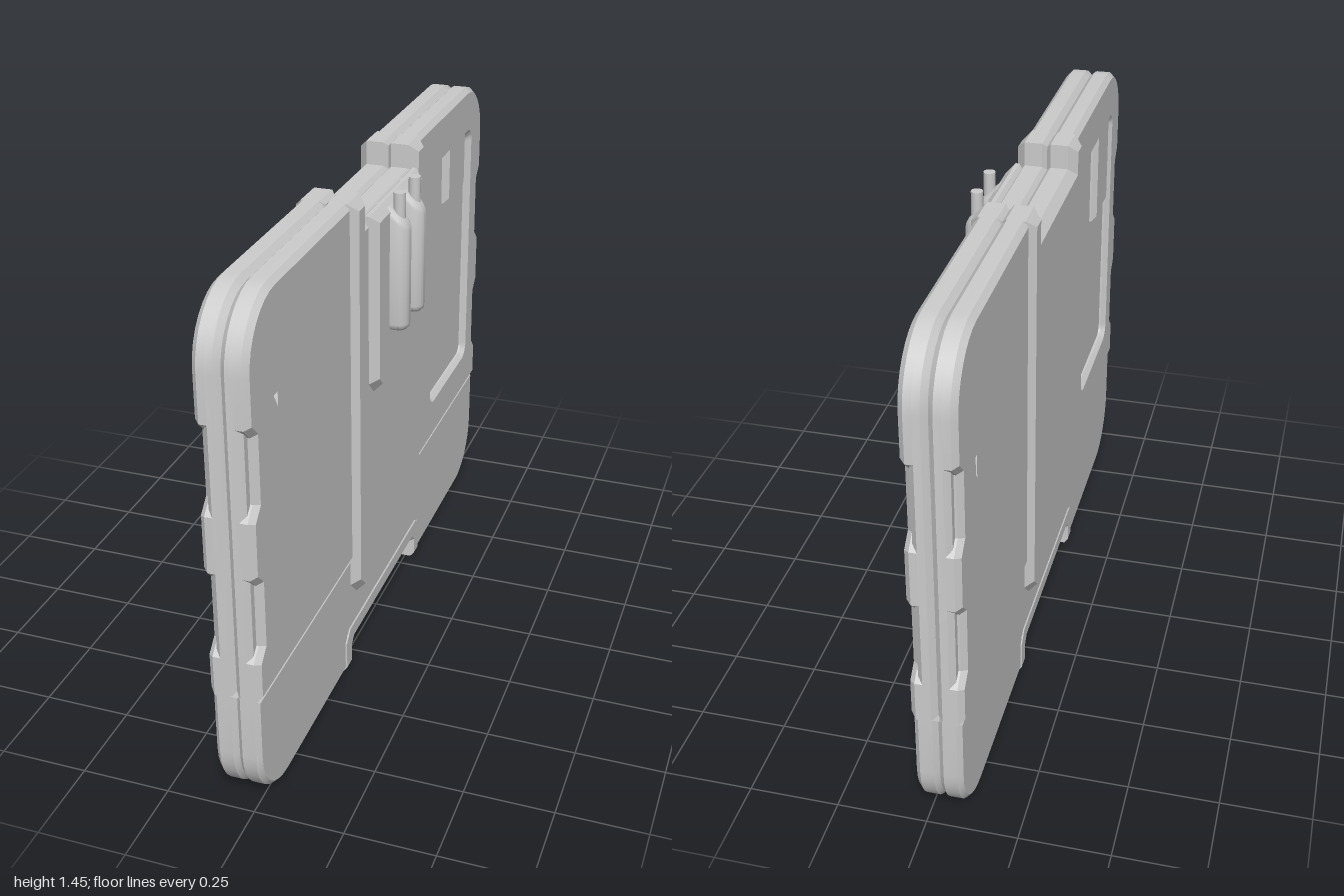
import * as THREE from 'three';
import { toCreasedNormals } from 'three/addons/utils/BufferGeometryUtils.js';

const SEAM = -0.0385; // x of the plane where the two shells meet
const material = new THREE.MeshStandardMaterial({ color: 0xcccccc });

// Closed outline from [u, y, cornerRadius] points
function outline(points, Type = THREE.Shape) {
  const path = new Type();
  const n = points.length;
  points.forEach(([u, y, r = 0], i) => {
    const toward = (q, d) => {
      const len = Math.hypot(q[0] - u, q[1] - y);
      return [u + ((q[0] - u) * d) / len, y + ((q[1] - y) * d) / len];
    };
    const prev = points[(i + n - 1) % n], next = points[(i + 1) % n];
    const a = r ? toward(prev, r) : [u, y];
    if (i === 0) path.moveTo(...a);
    else path.lineTo(...a);
    if (r) path.bezierCurveTo(...toward(prev, r * 0.45), ...toward(next, r * 0.45), ...toward(next, r));
  });
  path.closePath();
  return path;
}

const flip = (points, s) => points.map(([u, y, r]) => [u * s, y, r]);
const symmetric = (half) => [...half, ...flip(half, -1).reverse()];

// Bevelled slab between distances d0 and d1 from the seam, on the given side
function slab(group, name, side, points, d0, d1, bevel, hole) {
  const shape = outline(points);
  if (hole) shape.holes.push(outline(hole, THREE.Path));
  let geo = new THREE.ExtrudeGeometry(shape, {
    depth: d1 - d0 - 2 * bevel, bevelThickness: bevel, bevelSize: bevel,
    bevelOffset: -bevel, bevelSegments: 1, curveSegments: 8,
  });
  geo.translate(0, 0, d0 + bevel);
  geo.rotateY((side * Math.PI) / 2);
  geo = toCreasedNormals(geo, 0.45);
  const mesh = new THREE.Mesh(geo, material);
  mesh.name = name;
  mesh.position.x = SEAM;
  group.add(mesh);
}

// Upper side panel, with or without the grip notches in its outer edge
function panelPoints(notched) {
  const pts = [[0.295, 0.36], [1, 0.36]];
  if (notched) {
    for (const y of [0.48, 0.89]) {
      pts.push([1, y], [0.965, y + 0.035], [0.965, y + 0.215], [1, y + 0.25]);
    }
  }
  pts.push([1, 1.45, 0.18], [0.295, 1.45]);
  return pts;
}

// Sunken field with a raised tab at its top edge
const recess = (u0, u1, tabY) => [
  [0.465, 0.505, 0.03], [0.862, 0.505, 0.03], [0.862, 1.295, 0.03],
  [u1, 1.295], [u1, tabY], [u0, tabY], [u0, 1.295], [0.465, 1.295, 0.03],
];

function addShell(group, side) {
  // Side panels: full inner layer, notched outer layer with the recess
  const field = side > 0 ? recess(0.61, 0.81, 1.135) : recess(0.63, 0.82, 1.03);
  for (const s of [-1, 1]) {
    slab(group, 'panelInnerLayer', side, flip(panelPoints(false), s), 0, 0.05, 0.015);
    slab(group, 'panelOuterLayer', side, flip(panelPoints(true), s), 0.012, 0.071, 0.015, flip(field, s));
  }

  // Lower panel with the handle opening
  const lower = symmetric([[0.33, 0], [1, 0, 0.18], [1, 0.366]]);
  lower.push([-0.33, 0.105], [0.33, 0.105]);
  slab(group, 'lowerPanel', side, lower, 0, 0.0635, 0.013);

  // Frame around the handle opening
  const frame = [
    [0.3, 0], [0.362, 0], [0.362, 0.1], [0.325, 0.137],
    [-0.325, 0.137], [-0.362, 0.1], [-0.362, 0], [-0.3, 0], [-0.3, 0.06], [-0.285, 0.077],
    [0.285, 0.077], [0.3, 0.06],
  ];
  slab(group, 'handleFrame', side, frame, 0, 0.067, 0.01);

  // Centre housing, lowered between its two top shoulders
  const housing = symmetric([[0.255, 0.222], [0.308, 0.275], [0.308, 1.45], [0.212, 1.45], [0.212, 1.38]]);
  slab(group, 'housingInnerLayer', side, housing, 0, 0.06, 0.012);
  slab(group, 'housingOuterLayer', side, housing, 0.012, 0.088, 0.025);
}

// Antenna: D-shaped barrel with a slanted top, and a thin rod
function addAntenna(group, z) {
  const antenna = new THREE.Group();
  antenna.name = 'antenna';
  antenna.position.z = z;

  const d = new THREE.Shape();
  d.moveTo(0.055, -0.033);
  d.lineTo(0.091, -0.033);
  d.absarc(0.091, 0, 0.033, -Math.PI / 2, Math.PI / 2, false);
  d.lineTo(0.055, 0.033);
  d.closePath();
  let geo = new THREE.ExtrudeGeometry(d, {
    depth: 0.32, bevelThickness: 0.022, bevelSize: 0.02, bevelOffset: -0.02,
    bevelSegments: 3, curveSegments: 14,
  });
  geo.rotateX(-Math.PI / 2);
  geo.translate(0, 1.03, 0);
  const p = geo.attributes.position;
  for (let i = 0; i < p.count; i++) {
    if (p.getY(i) > 1.2) p.setY(i, p.getY(i) - (p.getX(i) - 0.07) * 0.85);
  }
  geo = toCreasedNormals(geo, 0.6);
  const barrel = new THREE.Mesh(geo, material);
  barrel.name = 'antennaBarrel';

  const rod = new THREE.Mesh(new THREE.CylinderGeometry(0.017, 0.017, 0.13, 16), material);
  rod.name = 'antennaRod';
  rod.position.set(0.091, 1.347, 0);
  antenna.add(barrel, rod);
  group.add(antenna);
}

export function createModel() {
  const model = new THREE.Group();
  model.name = 'foldedCase';
  for (const side of [1, -1]) {
    const shell = new THREE.Group();
    shell.name = side > 0 ? 'leftShell' : 'rightShell';
    addShell(shell, side);
    model.add(shell);
  }

  // Raised plate carrying the antennas
  const plate = symmetric([[0.17, 0.85], [0.21, 0.89], [0.21, 1.385]]);
  slab(model, 'antennaPlate', 1, plate, 0.055, 0.1125, 0.023);
  for (const z of [0.07, -0.066]) addAntenna(model, z);
  return model;
}
